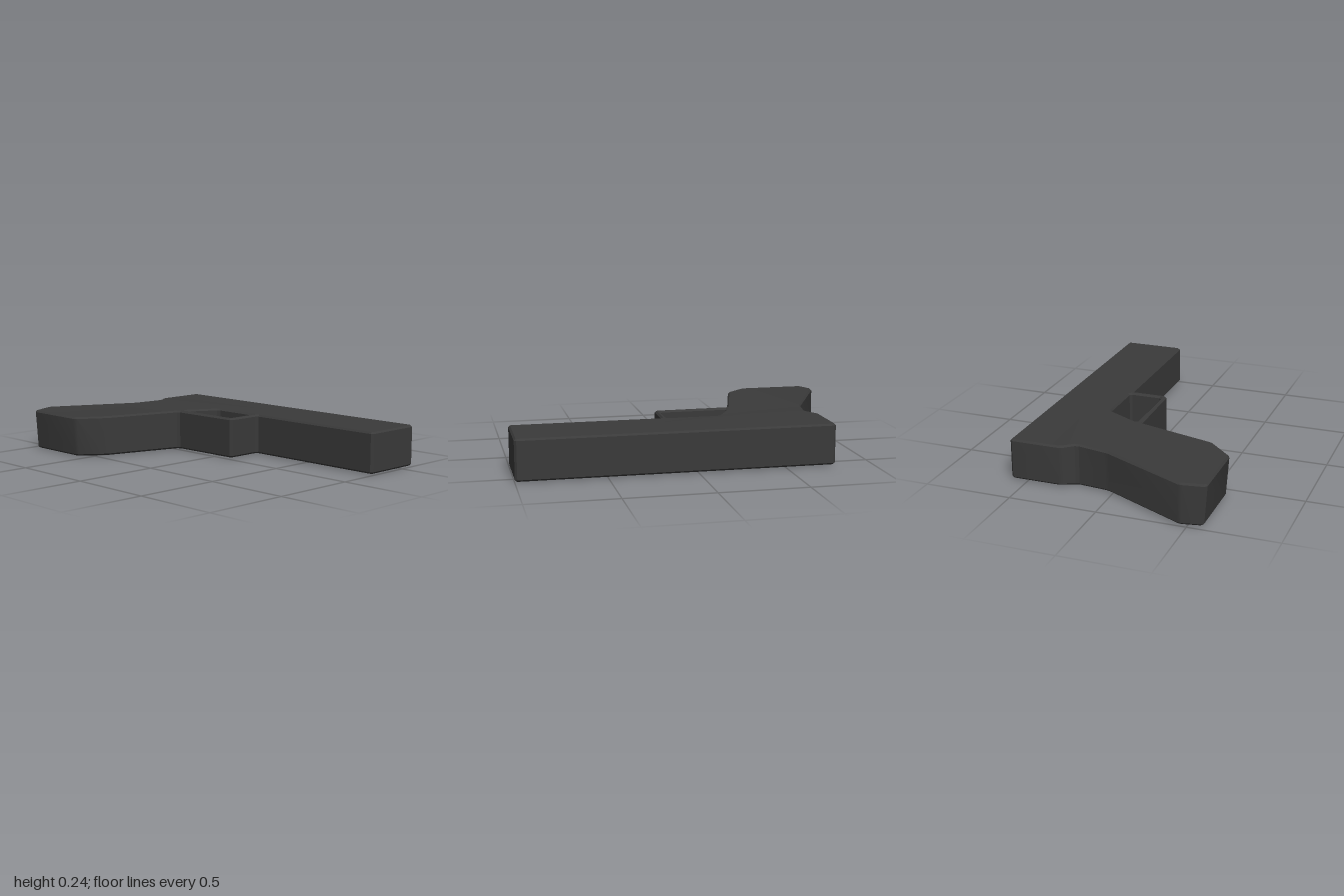
import * as THREE from 'three';
import { toCreasedNormals } from 'three/addons/utils/BufferGeometryUtils.js';

// Cut every corner of a closed outline back by a small distance
function chamfer(points, cut) {
  const v = points.map(([x, z]) => new THREE.Vector2(x, -z));
  const out = [];
  v.forEach((p, i) => {
    for (const q of [v[(i + v.length - 1) % v.length], v[(i + 1) % v.length]]) {
      out.push(p.clone().add(q.clone().sub(p).setLength(cut)));
    }
  });
  return out;
}

export function createModel() {
  const group = new THREE.Group();
  const material = new THREE.MeshStandardMaterial({ color: 0x3a3a3a });

  // Side profile as [x, z]: barrel block, trigger guard, grip
  const profile = new THREE.Shape(chamfer([
    [-0.783, -0.595], [1, -0.595], [1, -0.228], [0.13, -0.228],
    [0.13, -0.011], [-0.313, -0.003], [-0.443, 0.46], [-0.57, 0.588],
    [-0.965, 0.588], [-1, 0.46], [-0.76, -0.03], [-0.727, -0.22], [-0.783, -0.295],
  ], 0.012));

  // Opening inside the trigger guard, wound opposite to the outline
  profile.holes.push(new THREE.Path(chamfer([
    [-0.308, -0.036], [0.1, -0.036], [0.1, -0.234], [-0.2, -0.234],
  ], 0.012)));

  const bevel = 0.01, bottom = 0.007, top = 0.24;
  const extruded = new THREE.ExtrudeGeometry(profile, {
    depth: top - bottom - 2 * bevel,
    bevelEnabled: true, bevelThickness: bevel, bevelSize: bevel,
    bevelOffset: -bevel, bevelSegments: 1,
  });
  extruded.rotateX(-Math.PI / 2);
  extruded.translate(0, bottom + bevel, 0);

  // Lean the butt of the grip slightly, and swell both faces at the rear notch
  const pos = extruded.attributes.position;
  for (let i = 0; i < pos.count; i++) {
    const x = pos.getX(i), y = pos.getY(i), z = pos.getZ(i);
    if (z > 0.52) {
      pos.setZ(i, z + (y - 0.12) * 0.07);
      pos.setY(i, y - 0.005);
    }
    if (x < -0.65 && Math.abs(z + 0.22) < 0.03) pos.setY(i, y + (y < 0.1 ? -0.007 : 0.002));
  }

  // Smooth the shallow bends of the grip, keep all other edges sharp
  const mesh = new THREE.Mesh(toCreasedNormals(extruded, 0.4), material);
  mesh.name = 'pistolBody';
  group.add(mesh);
  return group;
}
